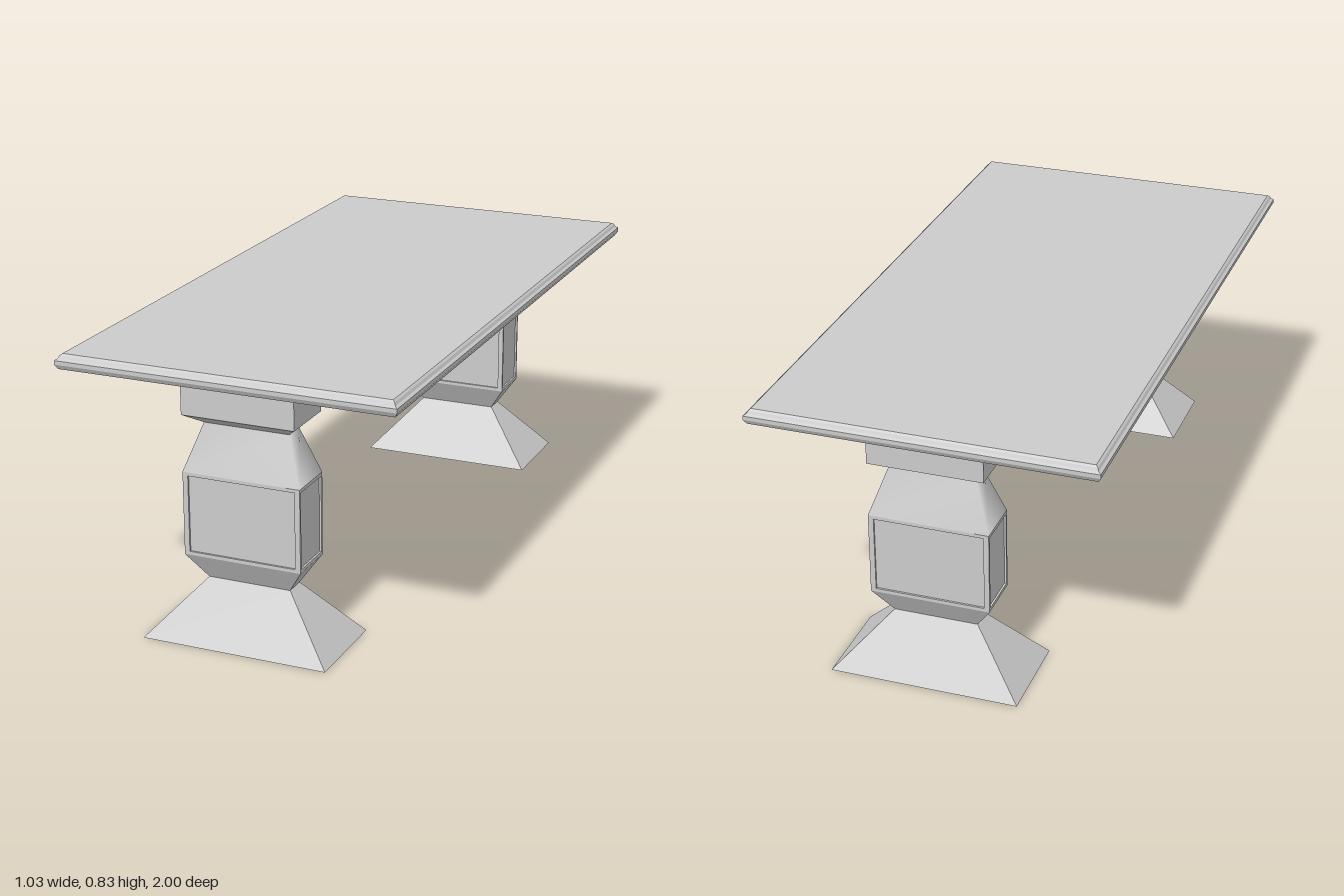
import * as THREE from 'three';

const material = new THREE.MeshStandardMaterial({ color: 0xcccccc });

// Rectangular loft: each ring is [halfX, halfZ, y]; bottom and top may be capped.
function loft(rings, { bottom = false, top = false, smooth = false } = {}) {
  const pos = [], index = [];
  for (const [hx, hz, y] of rings) pos.push(-hx, y, hz, hx, y, hz, hx, y, -hz, -hx, y, -hz);
  for (let r = 0; r < rings.length - 1; r++) {
    for (let i = 0; i < 4; i++) {
      const a = r * 4 + i, b = r * 4 + (i + 1) % 4;
      index.push(a, b, b + 4, a, b + 4, a + 4);
    }
  }
  const t = (rings.length - 1) * 4;
  if (bottom) index.push(0, 2, 1, 0, 3, 2);
  if (top) index.push(t, t + 1, t + 2, t, t + 2, t + 3);
  let geometry = new THREE.BufferGeometry();
  geometry.setAttribute('position', new THREE.Float32BufferAttribute(pos, 3));
  geometry.setIndex(index);
  if (!smooth) geometry = geometry.toNonIndexed();
  geometry.computeVertexNormals();
  return geometry;
}

function part(name, geometry) {
  const mesh = new THREE.Mesh(geometry, material);
  mesh.name = name;
  return mesh;
}

function createPedestal(name) {
  const leg = new THREE.Group();
  leg.name = name;
  const bodyX = 0.18, bodyZ = 0.076, y0 = 0.25, y1 = 0.5;

  leg.add(part('foot', loft([[0.284, 0.147, 0], [0.127, 0.032, 0.172]], { bottom: true })));
  leg.add(part('lowerFlare', loft([[0.127, 0.032, 0.172], [bodyX, bodyZ, y0]])));

  // Four framed, slightly sunken panels form the square body
  const halfH = (y1 - y0) / 2;
  for (let k = 0; k < 4; k++) {
    const side = k % 2 === 1;
    const w = side ? bodyZ : bodyX, out = side ? bodyX : bodyZ;
    const inW = w - (side ? 0.008 : 0.016), inH = halfH - 0.0105;
    const panel = part('bodyPanel', loft(
      [[w, halfH, 0], [inW, inH, 0], [inW, inH, -0.006]], { top: true })
      .rotateX(Math.PI / 2).translate(0, 0, out).rotateY(k * Math.PI / 2));
    panel.position.y = (y0 + y1) / 2;
    leg.add(panel);
  }

  // Softly shaded taper above the body
  leg.add(part('upperTaper', loft([[bodyX, bodyZ, y1], [0.131, 0.032, 0.64]], { smooth: true })));
  leg.add(part('capital', loft(
    [[0.131, 0.032, 0.64], [0.172, 0.09, 0.675], [0.172, 0.09, 0.785]], { top: true })));
  return leg;
}

export function createModel() {
  const table = new THREE.Group();
  table.name = 'table';

  // Tabletop with a moulded edge: [inset, height]
  const edge = [[0.008, 0.782], [0, 0.796], [0, 0.808], [0.008, 0.813], [0.012, 0.821], [0.018, 0.826]];
  table.add(part('tabletop', loft(
    edge.map(([inset, y]) => [0.514 - inset, 1 - inset, y]), { bottom: true, top: true })));

  for (const [name, z] of [['frontPedestal', 0.84], ['backPedestal', -0.83]]) {
    const leg = createPedestal(name);
    leg.position.set(0.0135, 0, z);
    table.add(leg);
  }
  return table;
}
